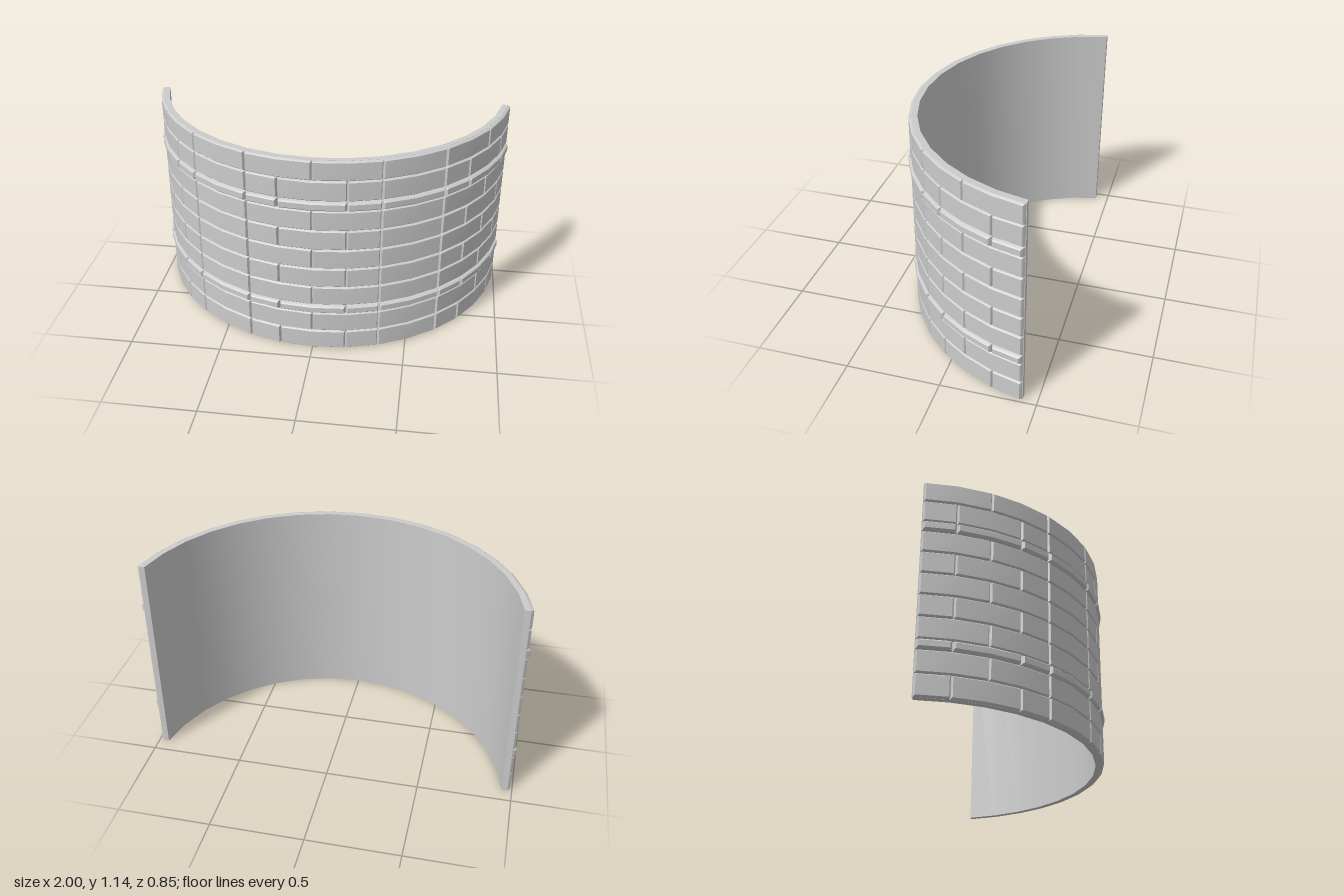
import * as THREE from 'three';
import { toCreasedNormals } from 'three/addons/utils/BufferGeometryUtils.js';

const HEIGHT = 1.14, CENTRE_Z = -0.592, END_Z = -0.425, END = 80;
const INNER_R = 0.961, CORE_R = 0.992, BRICK_R = 1.006, BAND_R = 1.016;
const RAD = Math.PI / 180;
const half = [10.25, 20.5, 30.75, 41, 51, 60.5, 70.5, END];
const stations = [...half.map(a => -a).reverse(), 0, ...half]; // facet corners in degrees

// Point on the arc; both ends are cut flush with the back plane
function arcPoint(deg, r) {
  const z = CENTRE_Z + r * Math.cos(deg * RAD);
  return [r * Math.sin(deg * RAD), Math.abs(deg) >= END ? END_Z : z];
}

// Curved slab behind the bricks
function coreGeometry() {
  const outer = stations.map(a => arcPoint(a, CORE_R));
  const inner = stations.map(a => arcPoint(a, INNER_R)).reverse();
  const shape = new THREE.Shape([...outer, ...inner].map(([x, z]) => new THREE.Vector2(x, -z)));
  const geo = new THREE.ExtrudeGeometry(shape, { depth: HEIGHT, bevelEnabled: false });
  geo.rotateX(-Math.PI / 2);
  return toCreasedNormals(geo, 0.6);
}

// Grid lines across a brick with the depth (0 = face, 1 = edge) at each line
function gridLines(a, b, bevel, mids = []) {
  return [[a, 1], [a + bevel * 0.3, 0.35], [a + bevel, 0], ...mids.map(m => [m, 0]),
    [b - bevel, 0], [b - bevel * 0.3, 0.35], [b, 1]];
}

// Curved brick face with rounded edges that sink into the slab
function brickGeometry(a0, a1, y0, y1, r, bevel) {
  const mids = stations.filter(s => s > a0 + 1 && s < a1 - 1);
  const us = gridLines(a0, a1, bevel / RAD, mids), vs = gridLines(y0, y1, bevel);
  const pos = [], index = [];
  const depth = r - CORE_R + 0.004;
  us.forEach(([a, du], i) => vs.forEach(([y, dv], j) => {
    const [x, z] = arcPoint(a, r - depth * Math.max(du, dv));
    pos.push(x, y, z);
    if (i && j) {
      const n = vs.length, p = (i - 1) * n + j - 1;
      index.push(p, p + n, p + n + 1, p, p + n + 1, p + 1);
    }
  }));
  const geo = new THREE.BufferGeometry();
  geo.setAttribute('position', new THREE.Float32BufferAttribute(pos, 3));
  geo.setIndex(index);
  return toCreasedNormals(geo, 0.6);
}

export function createModel() {
  const model = new THREE.Group();
  model.name = 'curvedBrickWall';
  const material = new THREE.MeshStandardMaterial({ color: 0xcccccc });
  const add = (parent, geo, name) => {
    const mesh = new THREE.Mesh(geo, material);
    mesh.name = name;
    parent.add(mesh);
  };
  add(model, coreGeometry(), 'wallCore');

  // Two alternating bond patterns
  const mirror = list => [...list.map(a => -a).reverse(), ...list];
  const bondA = [...mirror([20.5, 41, 60.5, END]), 0].sort((a, b) => a - b);
  const bondB = mirror([10.25, 20.5, 41, 51, 70.5, END]);

  // Courses from the bottom up; the two thin ones are projecting bands
  const levels = [0, 0.115, 0.232, 0.285, 0.4, 0.515, 0.63, 0.745, 0.86, 0.915, 1.03, HEIGHT];
  for (let c = 0; c < levels.length - 1; c++) {
    const y0 = levels[c], y1 = levels[c + 1];
    const band = y1 - y0 < 0.08;
    const joints = c % 2 ? bondA : bondB;
    const bond = c === 10 ? bondA : c === 9 ? bondB : c === 8 || c === 2 ? bondB : joints;
    const course = new THREE.Group();
    course.name = band ? 'bandCourse' : 'brickCourse';
    for (let i = 0; i < bond.length - 1; i++) {
      const geo = brickGeometry(bond[i], bond[i + 1], y0, y1, band ? BAND_R : BRICK_R, band ? 0.012 : 0.008);
      add(course, geo, band ? 'bandBrick' : 'brick');
    }
    model.add(course);
  }
  return model;
}
